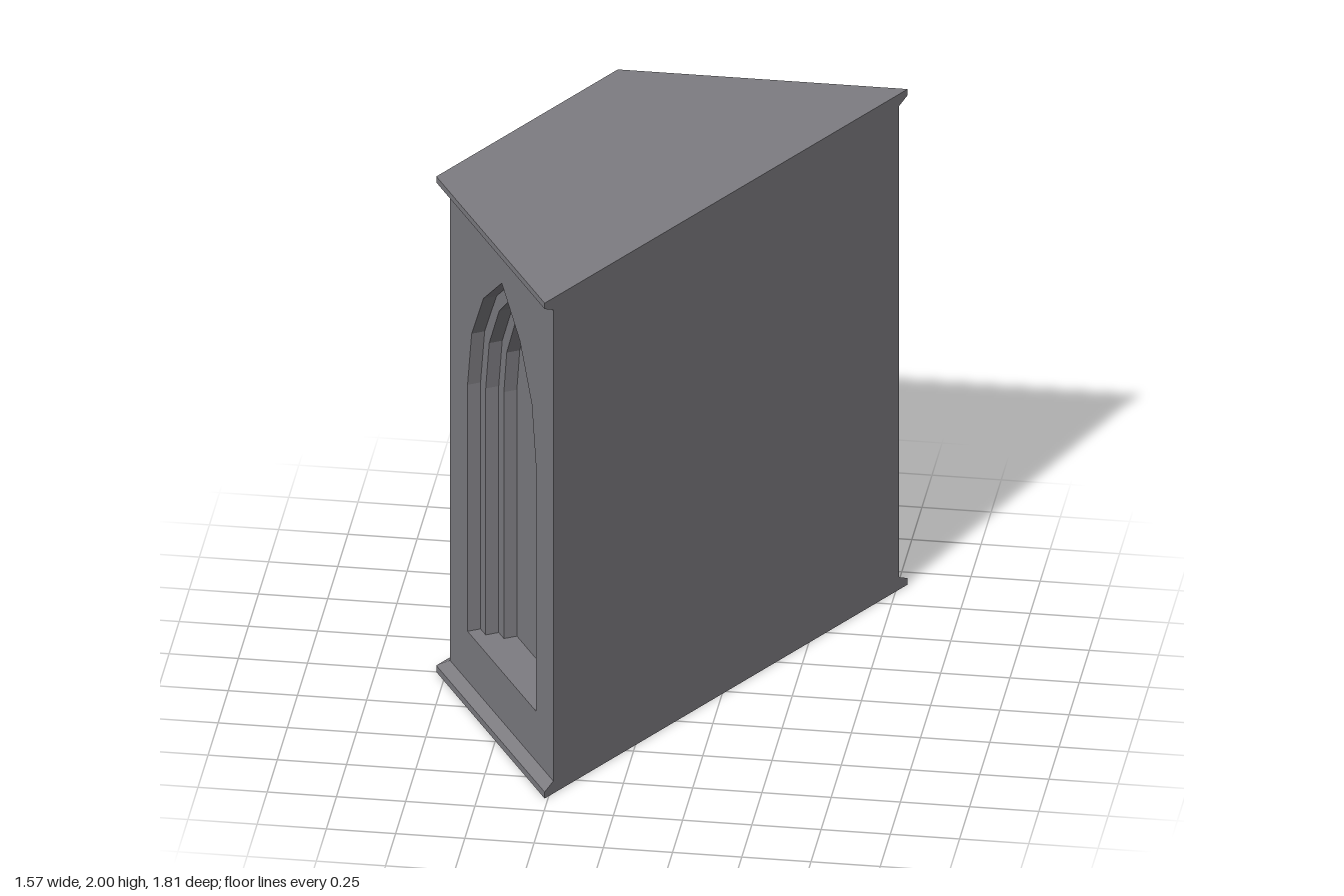
import * as THREE from 'three';

const R_BODY = 0.997, R_TRIM = 1.047;       // half-hexagon radii of wall and mouldings
const SILL = 0.25, SPRING = 1.245;          // niche heights
const STEP = 0.05, LEVELS = 3, HALF = 0.33; // niche recess steps and half width
const deg = THREE.MathUtils.degToRad;

const stone = new THREE.MeshStandardMaterial({ color: 0x7d7c81 });
stone.name = 'greyStone';

function part(name, geometry) {
  const flat = geometry.index ? geometry.toNonIndexed() : geometry;
  flat.computeVertexNormals();
  const mesh = new THREE.Mesh(flat, stone);
  mesh.name = name;
  return mesh;
}

// Pointed-arch outline from the bottom left, over the apex, to the bottom right
function archOutline(inset) {
  const r = 2 * HALF - inset, end = Math.acos(HALF / r);
  const right = [[HALF - inset, SILL]];
  for (let i = 0; i <= 3; i++) {
    const a = end * i / 3;
    right.push([Math.max(0, r * Math.cos(a) - HALF), SPRING + r * Math.sin(a)]);
  }
  const left = right.slice(0, -1).map(([x, y]) => [-x, y]);
  return [...left, ...right.reverse()].map(([x, y]) => new THREE.Vector2(x, y));
}

// Stepped jambs: loops of the arch joined by strips
function jambGeometry() {
  const loops = [];
  for (let k = 0; k < LEVELS; k++) {
    for (const depth of [k, k + 1]) {
      loops.push(archOutline(k * STEP).map(p => [p.x, p.y, -depth * STEP]));
    }
  }
  const pos = [];
  for (let j = 0; j < loops.length - 1; j++) {
    const a = loops[j], b = loops[j + 1];
    for (let i = 0; i < a.length - 1; i++) {
      pos.push(...a[i], ...b[i], ...a[i + 1], ...b[i], ...b[i + 1], ...a[i + 1]);
    }
  }
  const g = new THREE.BufferGeometry();
  g.setAttribute('position', new THREE.Float32BufferAttribute(pos, 3));
  return g;
}

// One outer wall with its stepped blind window
function nichePanel() {
  const panel = new THREE.Group();
  panel.name = 'nichePanel';
  const w = R_BODY / 2;
  const wall = new THREE.Shape([[-w, 0.05], [w, 0.05], [w, 1.952], [-w, 1.952]]
    .map(([x, y]) => new THREE.Vector2(x, y)));
  wall.holes.push(new THREE.Path(archOutline(0)));
  panel.add(part('wall', new THREE.ShapeGeometry(wall)));
  panel.add(part('nicheJambs', jambGeometry()));

  const back = part('nicheBack', new THREE.ShapeGeometry(
    new THREE.Shape(archOutline((LEVELS - 1) * STEP))));
  back.position.z = -LEVELS * STEP;
  panel.add(back);

  for (let k = 0; k < LEVELS; k++) {
    const sill = part('nicheSill', new THREE.PlaneGeometry(2 * (HALF - k * STEP), STEP).rotateX(-Math.PI / 2));
    sill.position.set(0, SILL, -(k + 0.5) * STEP);
    panel.add(sill);
  }
  return panel;
}

// Three-sided moulding band between two heights
function band(name, rBottom, rTop, y0, y1) {
  const mesh = part(name, new THREE.CylinderGeometry(
    rTop, rBottom, y1 - y0, 3, 1, true, deg(-210), Math.PI));
  mesh.position.y = (y0 + y1) / 2;
  return mesh;
}

export function createModel() {
  const model = new THREE.Group();
  model.name = 'halfHexagonPedestal';
  const body = new THREE.Group();
  body.name = 'body';
  body.position.x = R_TRIM / 4;
  model.add(body);

  // Three walls with niches
  for (const angle of [-60, -120, -180]) {
    const panel = nichePanel();
    const a = deg(angle), d = R_BODY * Math.cos(Math.PI / 6);
    panel.position.set(Math.sin(a) * d, 0, Math.cos(a) * d);
    panel.rotation.y = a;
    body.add(panel);
  }

  // Mouldings at foot and top
  body.add(
    band('plinth', R_TRIM, R_TRIM, 0, 0.026),
    band('plinthChamfer', R_TRIM, R_BODY, 0.026, 0.05),
    band('corniceChamfer', R_BODY, R_TRIM, 1.952, 1.976),
    band('cornice', R_TRIM, R_TRIM, 1.976, 2));

  // Top and underside
  const top = part('top', new THREE.CircleGeometry(R_TRIM, 3, deg(60), Math.PI).rotateX(-Math.PI / 2));
  top.position.y = 2;
  body.add(top, part('underside',
    new THREE.CircleGeometry(R_TRIM, 3, deg(120), Math.PI).rotateX(Math.PI / 2)));

  // Plain flat face showing the moulding profile at both ends
  const profile = [[R_TRIM, 0], [R_TRIM, 0.026], [R_BODY, 0.05],
    [R_BODY, 1.952], [R_TRIM, 1.976], [R_TRIM, 2]];
  const outline = [...profile, ...profile.map(([x, y]) => [-x, y]).reverse()];
  const flatFace = part('flatFace', new THREE.ShapeGeometry(
    new THREE.Shape(outline.map(([x, y]) => new THREE.Vector2(x, y)))));
  flatFace.rotation.y = deg(60);
  body.add(flatFace);

  return model;
}
